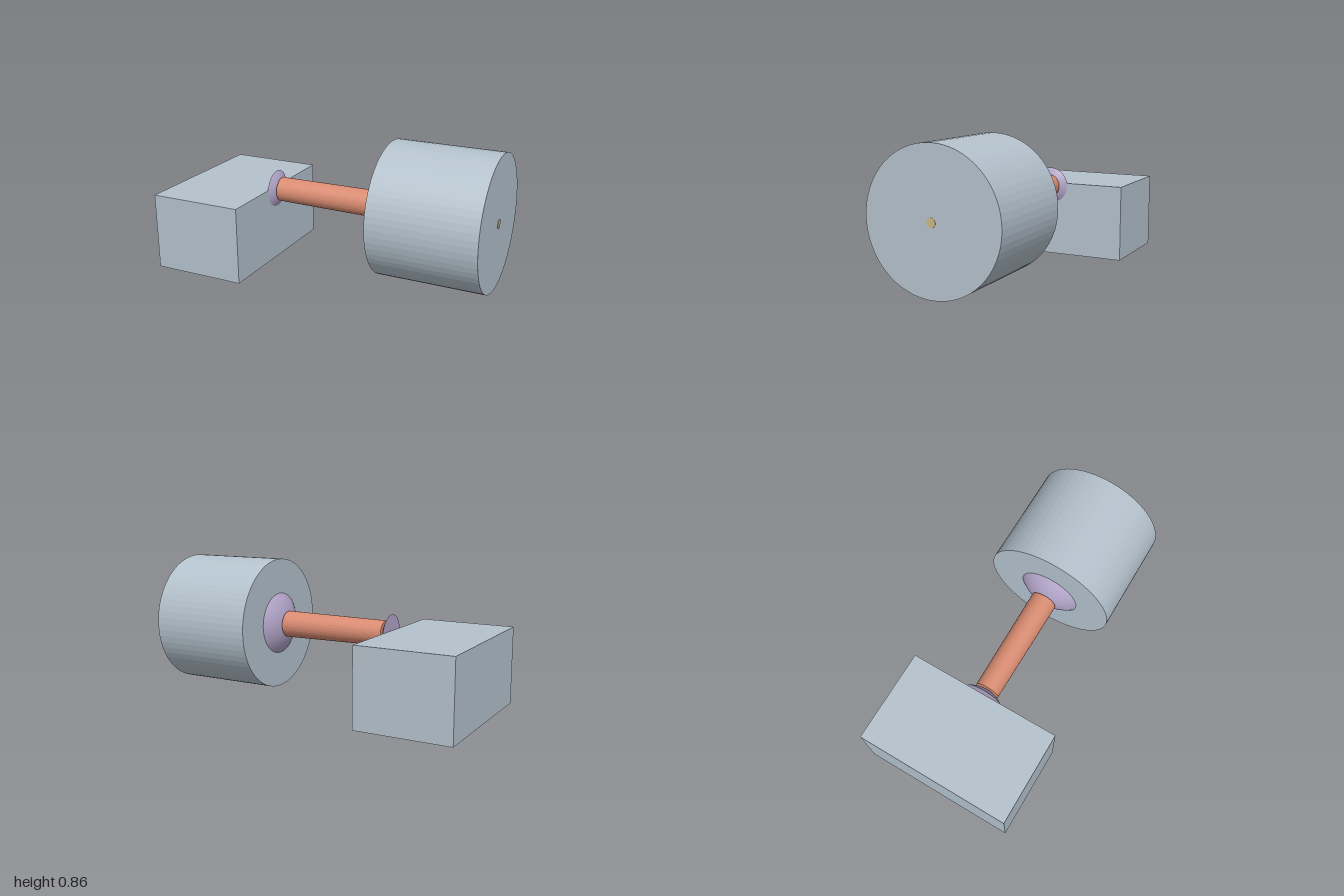
import * as THREE from 'three';

const AXIS_Y = 0.454;

// Gives a geometry one normal per face
function faceted(geometry) {
  const g = geometry.toNonIndexed();
  g.computeVertexNormals();
  return g;
}

export function createModel() {
  const model = new THREE.Group();
  const steel = new THREE.MeshStandardMaterial({ color: 0xb4c2cd });
  const copper = new THREE.MeshStandardMaterial({ color: 0xda8c72 });
  const lilac = new THREE.MeshStandardMaterial({ color: 0xb3a5c9 });
  const brass = new THREE.MeshStandardMaterial({ color: 0xcab983 });

  function add(name, geometry, material, x, y) {
    const mesh = new THREE.Mesh(geometry, material);
    mesh.name = name;
    mesh.position.set(x, y, 0);
    model.add(mesh);
    return mesh;
  }

  // Cylinder lying along x from x0 to x1
  function rod(name, x0, x1, r0, r1, sides, material) {
    const g = new THREE.CylinderGeometry(r1, r0, x1 - x0, sides);
    g.rotateZ(-Math.PI / 2);
    return add(name, faceted(g), material, (x0 + x1) / 2, AXIS_Y);
  }

  // Closed spherical cap with its flat base at x, bulging towards dir
  function dome(name, x, radius, height, dir) {
    const R = (radius * radius + height * height) / (2 * height);
    const max = Math.asin(radius / R);
    const points = [new THREE.Vector2(0, 0), new THREE.Vector2(radius, 0)];
    const n = 12;
    for (let i = 0; i <= n; i++) {
      const a = max * (1 - i / n);
      points.push(new THREE.Vector2(R * Math.sin(a), R * Math.cos(a) - R + height));
    }
    // The repeated rim point keeps the base edge sharp
    const base = new THREE.CircleGeometry(radius, 48);
    base.rotateX(Math.PI / 2);
    const cap = new THREE.LatheGeometry(points.slice(2), 48);
    for (const [part, g] of [['', cap], ['Base', base]]) {
      g.rotateZ(-dir * Math.PI / 2);
      add(name + part, g, lilac, x, AXIS_Y);
    }
  }

  // Block on the ground
  add('baseBlock', new THREE.BoxGeometry(0.58, 0.472, 0.968), steel, -0.71, 0.236);

  // Large drum with a small centre pin in its outer face
  rod('drum', 0.352, 0.998, 0.403, 0.403, 64, steel);
  rod('centrePin', 0.99, 1, 0.027, 0.027, 16, brass);

  // Slightly tapered shaft between two domed seats
  rod('shaft', -0.385, 0.285, 0.075, 0.081, 32, copper);
  dome('blockDome', -0.421, 0.115, 0.038, 1);
  dome('drumDome', 0.353, 0.19, 0.07, -1);

  return model;
}
